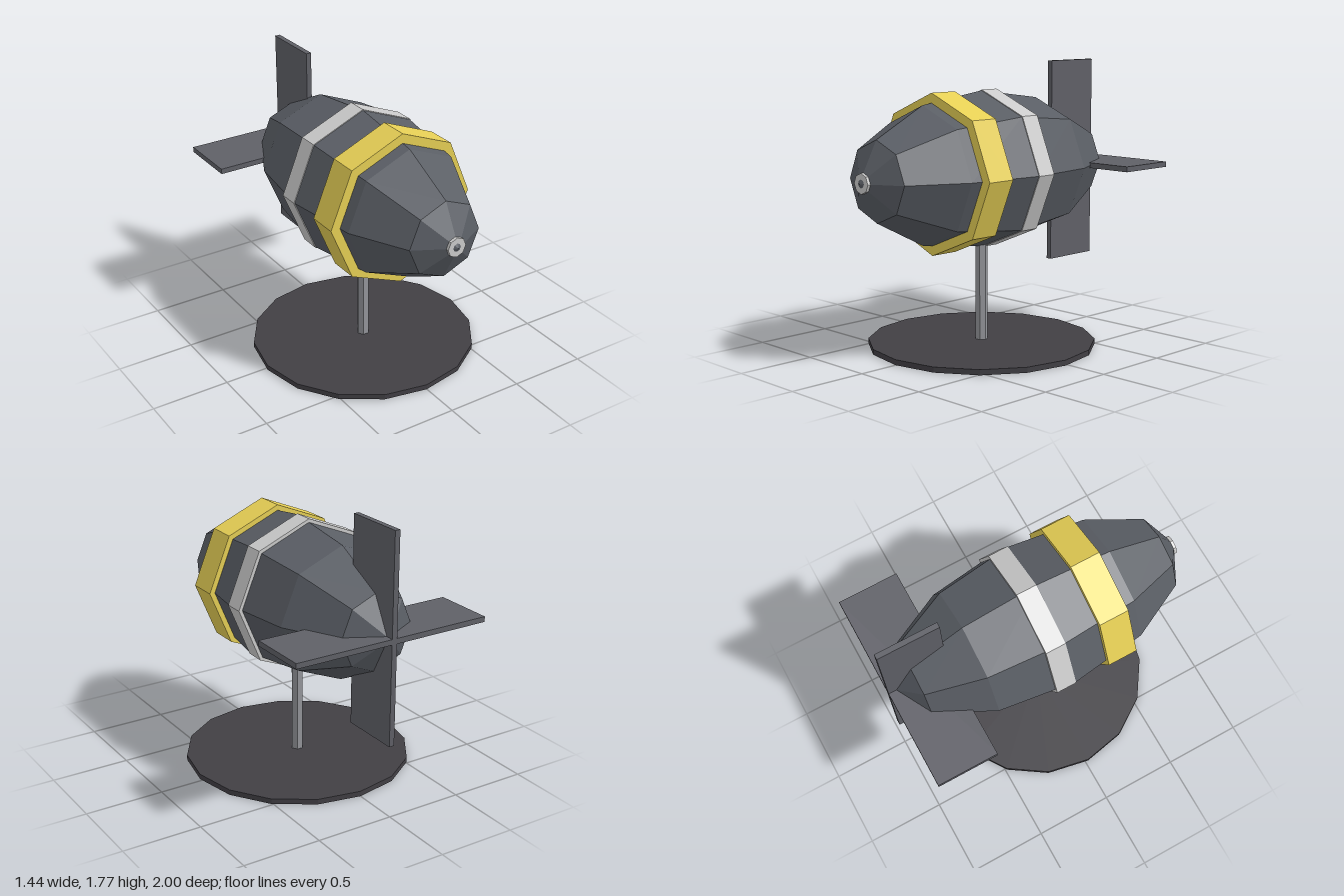
import * as THREE from 'three';

const AXIS_Y = 1.12; // height of the hull's long axis
const MID_Z = 0.02; // middle of the hull

export function createModel() {
  const model = new THREE.Group();
  model.name = 'airshipOnStand';

  const add = (name, geometry, color, x, y, z) => {
    const material = new THREE.MeshStandardMaterial({ color, flatShading: true });
    const mesh = new THREE.Mesh(geometry, material);
    mesh.name = name;
    mesh.position.set(x, y, z);
    model.add(mesh);
    return mesh;
  };

  // Hull: eight-sided ellipsoid lying along z
  const hull = new THREE.SphereGeometry(1, 8, 6);
  hull.rotateX(Math.PI / 2);
  hull.scale(0.49, 0.49, 0.98);
  add('hull', hull, 0x5a5e65, 0, AXIS_Y, MID_Z);

  // Bands around the hull and the ring at the nose: [name, radius, back z, front z, colour]
  const bands = [
    ['frontBand', 0.495, 0.245, 0.437, 0xe6cf55],
    ['middleBand', 0.495, -0.113, 0.017, 0xcccccc],
    ['noseRing', 0.062, 0.967, 0.986, 0xcccccc],
  ];
  for (const [name, radius, back, front, color] of bands) {
    const band = new THREE.CylinderGeometry(radius, radius, front - back, 8);
    band.rotateX(Math.PI / 2);
    add(name, band, color, 0, AXIS_Y, (back + front) / 2);
  }

  // Crossed tail fins
  add('verticalFin', new THREE.BoxGeometry(0.034, 1.31, 0.393), 0x5f6067, 0, AXIS_Y, -0.803);
  add('horizontalFin', new THREE.BoxGeometry(1.31, 0.034, 0.393), 0x5f6067, 0, AXIS_Y, -0.803);

  // Stand: six-sided post on a round base
  const post = new THREE.CylinderGeometry(0.039, 0.039, 0.66, 6, 1, false, Math.PI / 2);
  add('post', post, 0x94969b, 0, 0.33, MID_Z);
  add('base', new THREE.CylinderGeometry(0.72, 0.72, 0.034, 16), 0x413f44, 0, 0.017, MID_Z);

  return model;
}
